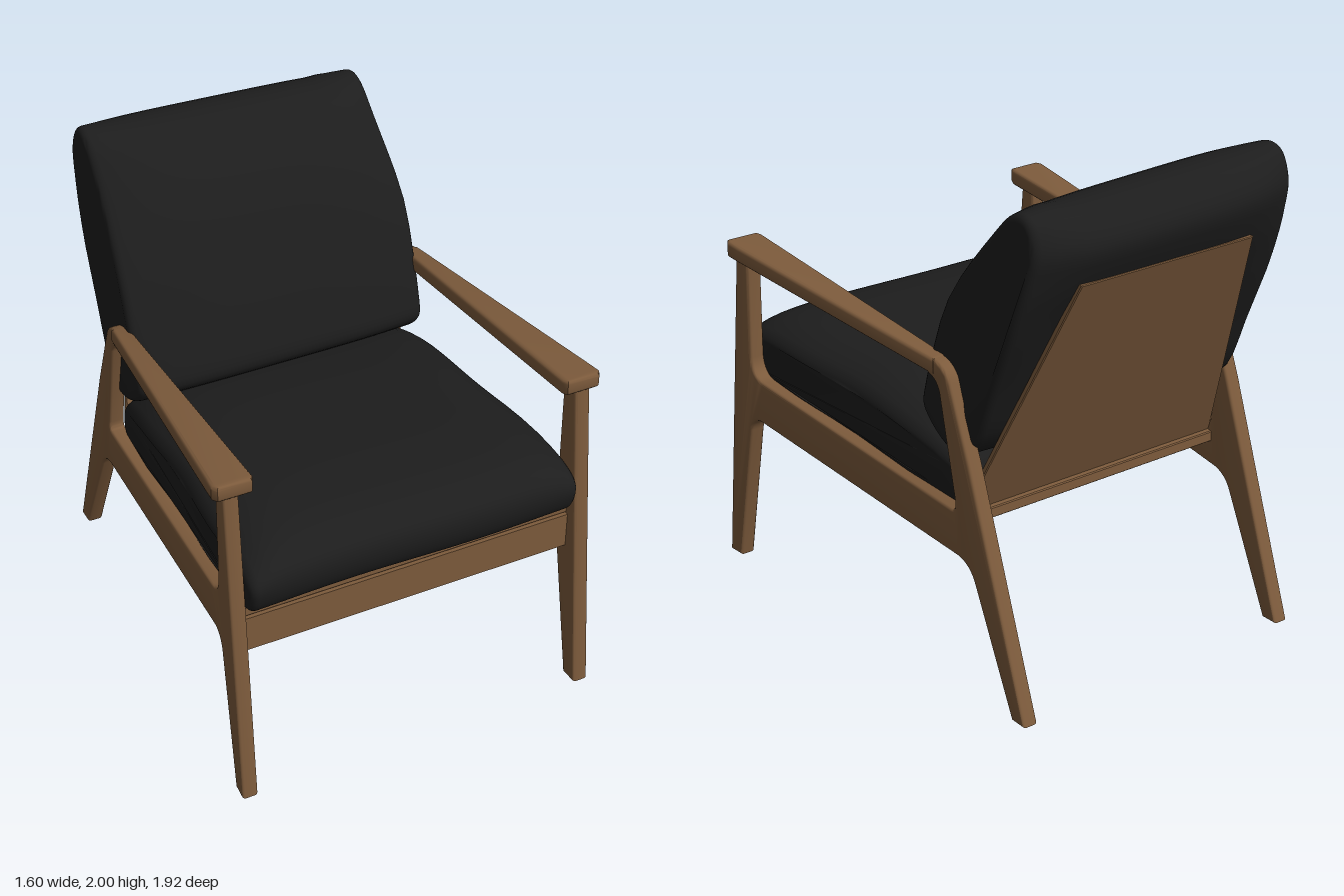
import * as THREE from 'three';
import { toCreasedNormals } from 'three/addons/utils/BufferGeometryUtils.js';

const wood = new THREE.MeshStandardMaterial({ color: 0x7d5b3c });
wood.name = 'brown wood';
const fabric = new THREE.MeshStandardMaterial({ color: 0x1d1d1d });
fabric.name = 'black fabric';

// Extrudes a shape symmetrically about its plane, then moves each vertex by a rule (a, b, c) -> [x, y, z].
function solid(name, material, shape, depth, bevel, rule, { steps = 1, crease = 0.6, rounds = 3 } = {}) {
  const g = new THREE.ExtrudeGeometry(shape, {
    depth: depth - 2 * bevel, steps, curveSegments: 8, bevelEnabled: bevel > 0,
    bevelSize: bevel, bevelThickness: bevel, bevelOffset: -bevel, bevelSegments: rounds,
  });
  g.translate(0, 0, bevel - depth / 2);
  const p = g.attributes.position;
  for (let i = 0; i < p.count; i++) p.setXYZ(i, ...rule(p.getX(i), p.getY(i), p.getZ(i)));
  const mesh = new THREE.Mesh(toCreasedNormals(g, crease), material);
  mesh.name = name;
  return mesh;
}

const polygon = (points) => new THREE.Shape(points.map(([a, b]) => new THREE.Vector2(a, b)));

// Smooth closed side profile through (z, y) points
function profile(points) {
  const curve = new THREE.CatmullRomCurve3(points.map(([z, y]) => new THREE.Vector3(-z, y, 0)), true);
  return polygon(curve.getPoints(56).slice(0, -1).map((v) => [v.x, v.y]));
}

// Front leg, side rail and raked back leg as one outline; the shape's x axis is -z
function sideOutline() {
  const s = new THREE.Shape();
  const L = (z, y) => s.lineTo(-z, y);
  const Q = (cz, cy, z, y) => s.quadraticCurveTo(-cz, cy, -z, y);
  s.moveTo(-0.965, 0);
  L(0.825, 1.39);
  L(0.75, 1.39);
  L(0.755, 0.95);
  Q(0.75, 0.87, 0.68, 0.862);
  L(-0.49, 0.74);
  Q(-0.515, 0.74, -0.51, 0.78);
  L(-0.425, 1.19);
  Q(-0.41, 1.24, -0.36, 1.251);
  L(-0.36, 1.321);
  Q(-0.46, 1.315, -0.485, 1.24);
  L(-0.6, 0.95);
  L(-0.93, 0);
  L(-0.855, 0);
  L(-0.63, 0.48);
  Q(-0.6, 0.545, -0.53, 0.555);
  L(0.7, 0.68);
  Q(0.755, 0.685, 0.775, 0.62);
  L(0.89, 0);
  s.closePath();
  return s;
}

export function createModel() {
  const chair = new THREE.Group();
  chair.name = 'armchair';

  // Side frames splay outwards towards the front; armrests widen towards the front
  for (const [side, s] of [['left', 1], ['right', -1]]) {
    chair.add(solid(`${side}SideFrame`, wood, sideOutline(), 0.066, 0.012,
      (a, b, c) => [c + s * (0.64 + 0.0666 * Math.max(0, 0.5 - a)), b, -a]));

    const arm = polygon([
      [0.65, 0.845], [0.785, 0.845], [0.8, 0.82], [0.795, 0.76],
      [0.683, -0.4], [0.615, -0.4], [0.638, 0.82],
    ].map(([x, z]) => [s * x, -z]));
    chair.add(solid(`${side}Armrest`, wood, arm, 0.068, 0.015,
      (a, b, c) => [a, 1.411 + c - 0.1016 * (0.84 + b), -b]));
  }

  // Front rail
  const rail = new THREE.Mesh(new THREE.BoxGeometry(1.4, 0.155, 0.06), wood);
  rail.name = 'frontRail';
  rail.position.set(0, 0.7125, 0.81);
  chair.add(rail);

  // Sloping seat board
  const seat = polygon([[-0.7, -0.83], [0.7, -0.83], [0.62, 0.52], [-0.62, 0.52]]);
  chair.add(solid('seatBoard', wood, seat, 0.045, 0.004,
    (a, b, c) => [a, 0.815 + c - 0.1 * (0.82 + b), -b], { rounds: 1, crease: 0.15 }));

  // Leaning back board, narrower at the top
  const back = polygon([[-0.62, 0.68], [0.62, 0.68], [0.41, 1.7], [-0.41, 1.7]]);
  chair.add(solid('backBoard', wood, back, 0.026, 0.004,
    (a, b, c) => [a, b, c - 0.49 - 0.426 * (b - 0.72)], { rounds: 1, crease: 0.15 }));

  // Seat cushion, wider at the front, its top falling off towards the sides
  const seatProfile = profile([
    [0.87, 0.85], [0.912, 0.93], [0.905, 1.02], [0.84, 1.08], [0.7, 1.11], [0.3, 1.1],
    [0, 1.075], [-0.3, 1.015], [-0.46, 0.93], [-0.5, 0.84], [-0.48, 0.73], [-0.3, 0.74],
    [0.3, 0.79], [0.7, 0.835],
  ]);
  chair.add(solid('seatCushion', fabric, seatProfile, 1.38, 0.035, (a, b, c) => {
    const u = c / 0.69;
    const width = 0.655 - 0.0571 * a + 0.006 * Math.sin(9 * a);
    const floor = 0.84 - 0.1 * a;
    return [u * Math.min(width, 0.695), b - 0.38 * u ** 8 * Math.max(0, b - floor),
      -a + 0.006 * Math.sin(6 * c)];
  }, { steps: 22, crease: 1.1, rounds: 4 }));

  // Back cushion, thinner along its sides, with a softly uneven top edge
  const backProfile = profile([
    [-0.228, 1.08], [-0.245, 1.18], [-0.3, 1.35], [-0.44, 1.7], [-0.55, 1.87], [-0.66, 1.97],
    [-0.78, 2.0], [-0.89, 1.965], [-0.955, 1.865], [-0.92, 1.73], [-0.84, 1.55], [-0.715, 1.26],
    [-0.61, 1.02], [-0.5, 0.94], [-0.4, 0.95], [-0.275, 1.02],
  ]);
  chair.add(solid('backCushion', fabric, backProfile, 1.27, 0.03, (a, b, c) => {
    const u = c / 0.635;
    const top = THREE.MathUtils.smoothstep(b, 1.45, 2.0);
    // Pinch towards the leaning middle plane
    const middle = 0.41 + 0.41 * (b - 1);
    const pinch = (0.12 + 0.3 * top) * u ** 4;
    const x = c * (1 - 0.045 * top) - 0.015 * top;
    const dip = 0.02 * (u + 1) * top * (u > 0.7 ? 0.85 : 1);
    return [x, b - dip, -(a + (middle - a) * pinch)];
  }, { steps: 20, crease: 1.1, rounds: 4 }));

  return chair;
}
